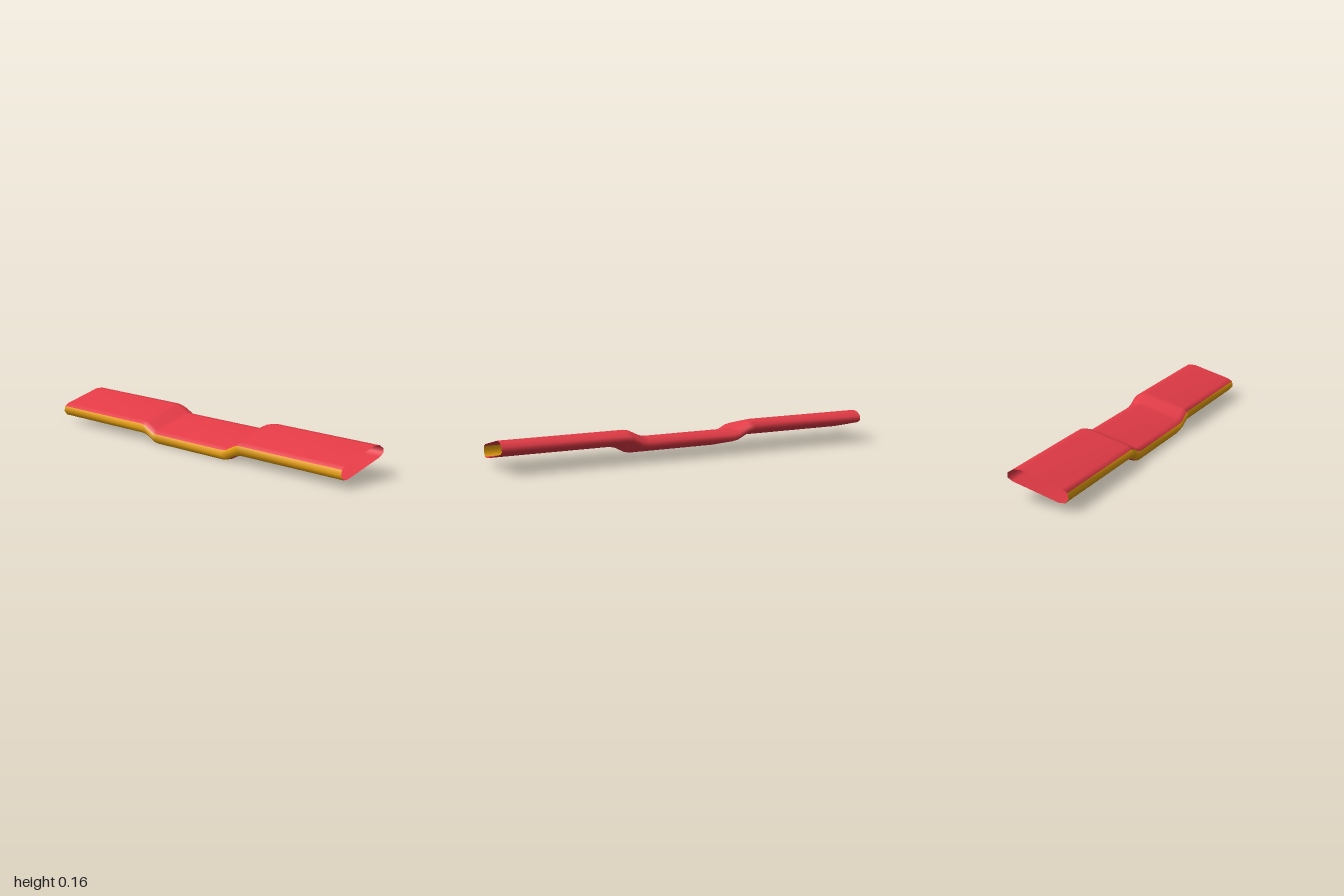
import * as THREE from 'three';

// Tilted hollow section as [z, y], going from the front of the underside round the back
const SECTION = [
  [0.107, 0.002], [-0.13, 0.065], [-0.156, 0.081], [-0.154, 0.104], [-0.125, 0.123],
  [-0.085, 0.126], [0.125, 0.07], [0.152, 0.055], [0.157, 0.027], [0.139, 0.004],
];
const GOLD_FACETS = [7, 8]; // the leading edge

// Stations along the length as [x, rise]: raised ends, dropped middle, eased bends
const HALF = [[0.24, 0], [0.27, 0.006], [0.325, 0.034], [0.355, 0.04], [1, 0.04]];
const STATIONS = [...HALF.map(([x, r]) => [-x, r]).reverse(), ...HALF];

export function createModel() {
  const red = new THREE.MeshStandardMaterial({ color: 0xe33b46, side: THREE.DoubleSide });
  red.name = 'red';
  const gold = new THREE.MeshStandardMaterial({ color: 0xf2a70c, side: THREE.DoubleSide });
  gold.name = 'gold';

  const n = SECTION.length;
  const positions = [];
  for (const [x, rise] of STATIONS) {
    for (const [z, y] of SECTION) positions.push(x, y + rise, z);
  }

  // Sweep every facet along the stations, sorted by colour
  const redFaces = [];
  const goldFaces = [];
  for (let i = 0; i < STATIONS.length - 1; i++) {
    for (let j = 0; j < n; j++) {
      const k = (j + 1) % n;
      const a = i * n + j, b = i * n + k, c = b + n, d = a + n;
      (GOLD_FACETS.includes(j) ? goldFaces : redFaces).push(a, b, c, a, c, d);
    }
  }

  const geometry = new THREE.BufferGeometry();
  geometry.setAttribute('position', new THREE.Float32BufferAttribute(positions, 3));
  geometry.setIndex([...redFaces, ...goldFaces]);
  geometry.addGroup(0, redFaces.length, 0);
  geometry.addGroup(redFaces.length, goldFaces.length, 1);
  geometry.computeVertexNormals();

  const wing = new THREE.Mesh(geometry, [red, gold]);
  wing.name = 'hollowWing';
  const model = new THREE.Group();
  model.name = 'wing';
  model.add(wing);
  return model;
}
